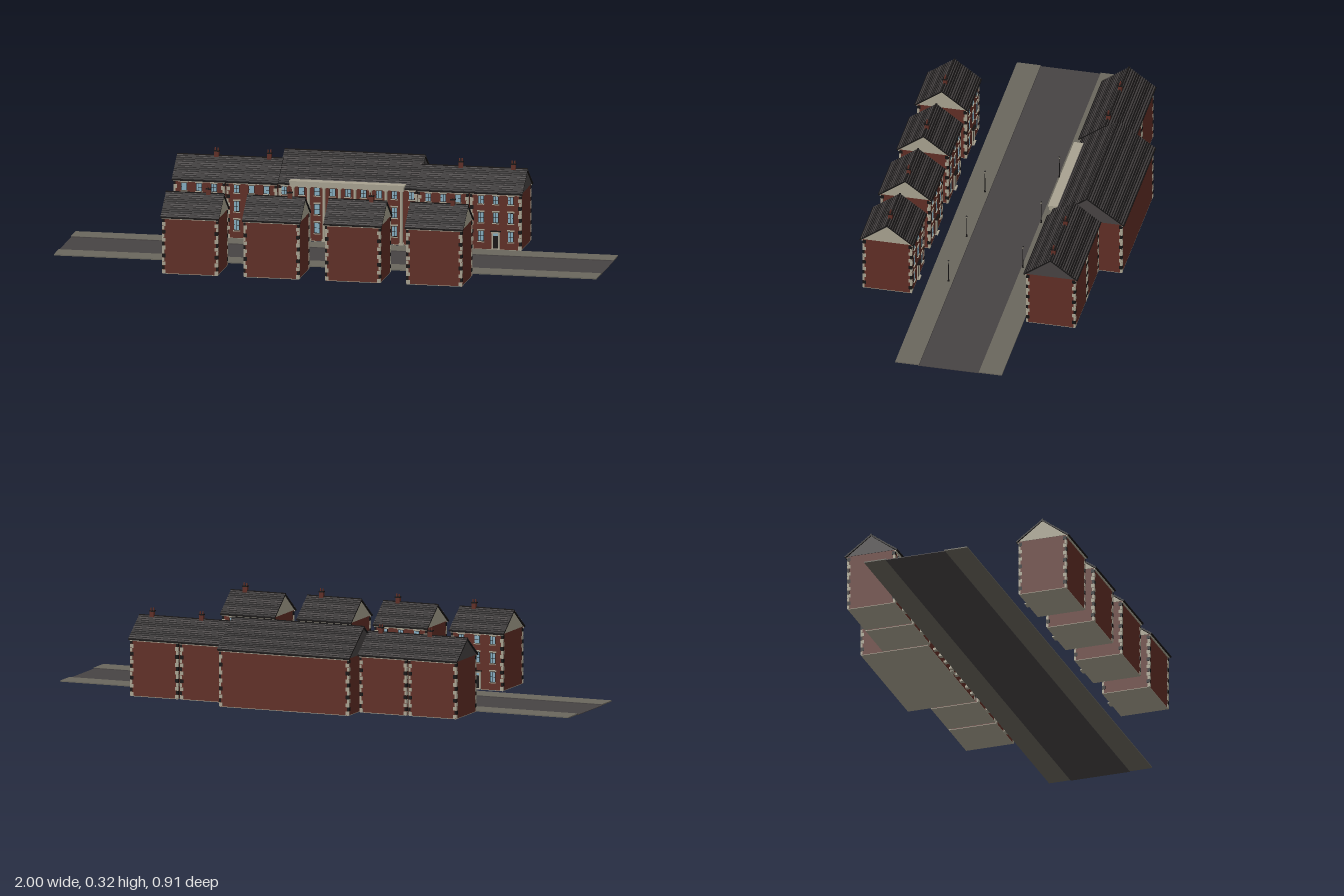
import * as THREE from 'three';

const mat = (name, color) => {
  const m = new THREE.MeshStandardMaterial({ color });
  m.name = name;
  return m;
};

export function createModel() {
  const M = {
    brick: mat('brick', 0x602e25), stone: mat('stone', 0xa8a290),
    black: mat('blackSlate', 0x161414), slate: mat('greySlate', 0x474343),
    pavement: mat('pavement', 0x6a675d), glass: mat('glass', 0x86adc0),
  };
  const root = new THREE.Group();
  root.name = 'terracedStreet';

  const add = (parent, name, geo, material, x = 0, y = 0, z = 0) => {
    const m = new THREE.Mesh(geo, material);
    m.name = name;
    m.position.set(x, y, z);
    parent.add(m);
    return m;
  };
  const box = (p, name, material, w, h, d, x, y, z) =>
    add(p, name, new THREE.BoxGeometry(w, h, d), material, x, y, z);
  const cyl = (p, name, material, rt, rb, h, x, y, z, n = 8) =>
    add(p, name, new THREE.CylinderGeometry(rt, rb, h, n), material, x, y, z);

  const BASE = 0.005, EAVES = 0.215;

  // Outline in the z-y plane, extruded along x
  const prism = (p, name, material, pts, w) => {
    const shape = new THREE.Shape(pts.map(([z, y]) => new THREE.Vector2(-z, y)));
    const g = new THREE.ExtrudeGeometry(shape, { depth: w, bevelEnabled: false });
    g.translate(0, 0, -w / 2);
    g.rotateY(Math.PI / 2);
    return add(p, name, g, material);
  };

  // Sash window: surround, dark frame, panes and sill
  const sash = (p, x, y, z, w, h) => {
    const g = new THREE.Group();
    g.name = 'window';
    g.position.set(x, y, z);
    p.add(g);
    box(g, 'frame', M.black, w, h, 0.002, 0, 0, 0.0005);
    for (const sx of [-1, 1]) for (const sy of [-1, 1])
      box(g, 'pane', M.glass, w * 0.4, h * 0.42, 0.002, sx * w * 0.23, sy * h * 0.23, 0.001);
    box(g, 'lintel', M.stone, w + 0.006, 0.005, 0.003, 0, h / 2 + 0.0025, 0.001);
    box(g, 'sill', M.stone, w + 0.005, 0.003, 0.005, 0, -h / 2 - 0.0015, 0.002);
  };

  // Panelled door with stone surround, canopy and step
  const door = (p, z) => {
    const g = new THREE.Group();
    g.name = 'door';
    g.position.z = z;
    p.add(g);
    box(g, 'doorLeaf', M.black, 0.019, 0.045, 0.003, 0, BASE + 0.0265, 0.001);
    box(g, 'fanlight', M.glass, 0.019, 0.009, 0.003, 0, BASE + 0.055, 0.001);
    for (const s of [-1, 1])
      box(g, 'jamb', M.stone, 0.005, 0.06, 0.005, s * 0.012, BASE + 0.03, 0.002);
    box(g, 'doorHead', M.stone, 0.032, 0.006, 0.006, 0, BASE + 0.063, 0.003);
    box(g, 'canopy', M.black, 0.038, 0.003, 0.01, 0, BASE + 0.0675, 0.005);
    box(g, 'step', M.stone, 0.03, 0.004, 0.01, 0, BASE + 0.002, 0.005);
  };

  // Alternating corner stones
  const quoins = (p, w, d) => {
    const n = 14, h = (EAVES - 0.006 - BASE) / n;
    for (const sx of [-1, 1]) for (const sz of [-1, 1])
      for (let i = 0; i < n; i++) {
        const long = i % 2 === 0, a = long ? 0.013 : 0.008, b = long ? 0.008 : 0.013;
        box(p, 'quoin', i % 3 === 1 ? M.black : M.stone, a, h * 0.92, b,
          sx * (w / 2 + 0.0015 - a / 2), BASE + h * (i + 0.5), sz * (d / 2 + 0.0015 - b / 2));
      }
  };

  // Pitched roof with courses of slate on both slopes
  const roof = (p, w, d, ridge, gable) => {
    const e = d / 2 + 0.008, t = 0.006, W = w + 0.012;
    prism(p, 'gable', gable, [[-d / 2, EAVES - 0.002], [d / 2, EAVES - 0.002], [0, ridge - t]], w + 0.004);
    prism(p, 'roofDeck', M.black,
      [[-e, EAVES - t], [0, ridge - t], [e, EAVES - t], [e, EAVES], [0, ridge], [-e, EAVES]], W);
    const rise = ridge - EAVES, len = Math.hypot(e, rise), angle = Math.atan2(rise, e);
    const n = Math.round(len / 0.0095);
    for (const s of [-1, 1])
      for (let i = 0; i < n; i++) {
        const k = (i + 0.5) / n, thick = [0.3, 0.5, 0.25, 0.6, 0.35][(i * 3 + (s > 0 ? 1 : 0)) % 5];
        const c = box(p, 'slateCourse', M.slate, W, 0.0012, (len / n) * thick,
          0, ridge - rise * k + 0.0003, s * e * k);
        c.rotation.x = s * angle;
      }
    box(p, 'ridgeTile', M.black, W, 0.004, 0.006, 0, ridge, 0);
    for (const s of [-1, 1]) {
      box(p, 'cornice', M.stone, w + 0.004, 0.005, 0.005, 0, EAVES - 0.0065, s * (d / 2 + 0.002));
      box(p, 'gutter', M.black, W, 0.004, 0.004, 0, EAVES - 0.002, s * e);
    }
  };

  const chimney = (p, x, ridge) => {
    const g = new THREE.Group();
    g.name = 'chimney';
    g.position.set(x, ridge, 0);
    p.add(g);
    box(g, 'stack', M.brick, 0.016, 0.038, 0.014, 0, -0.003, 0);
    box(g, 'stackCap', M.black, 0.019, 0.004, 0.018, 0, 0.017, 0);
    for (const s of [-1, 1]) cyl(g, 'chimneyPot', M.brick, 0.0025, 0.003, 0.01, s * 0.005, 0.024, 0);
  };

  // Brick building facing +z before turning
  const ROWS = [[0.053, 0.04], [0.122, 0.04], [0.187, 0.03]];
  const building = (name, { x, z, w, d, ridge, gable, columns, turn = 0, stack = null }) => {
    const g = new THREE.Group();
    g.name = name;
    g.position.set(x, 0, z);
    g.rotation.y = turn;
    root.add(g);
    box(g, 'walls', M.brick, w, EAVES - BASE, d, 0, (EAVES + BASE) / 2, 0);
    box(g, 'floorSlab', M.stone, w, 0.002, d, 0, BASE - 0.001, 0);
    quoins(g, w, d);
    roof(g, w, d, ridge, gable);
    for (const cx of columns) ROWS.forEach(([y, h], i) => {
      if (cx === 0 && i === 0) door(g, d / 2);
      else sash(g, cx, y, d / 2, 0.021, h);
    });
    if (stack !== null) chimney(g, stack, ridge);
    return g;
  };

  // Four detached houses facing the street
  for (const x of [-0.4525, -0.1525, 0.1475, 0.4475])
    building('detachedHouse', { x, z: 0.356, w: 0.203, d: 0.181, ridge: 0.287, gable: M.stone,
      columns: [-0.062, 0, 0.062], turn: Math.PI, stack: -0.05 });

  // Side houses of the long terrace
  for (const s of [-1, 1])
    for (const [px, w] of [[0.547, 0.186], [0.353, 0.183]])
      building('terraceHouse', { x: s * px, z: -0.27, w, d: 0.181, ridge: 0.287, gable: M.slate,
        columns: [-0.055, 0, 0.055], stack: 0.047 });

  // Larger central block with a colonnade
  const D = 0.257;
  const centre = building('centralBlock', { x: 0, z: -0.318, w: 0.508, d: D, ridge: 0.311, gable: M.slate,
    columns: [-0.235, -0.171, -0.114, -0.057, 0, 0.057, 0.114, 0.171, 0.235] });
  for (let i = 0; i < 8; i++) {
    const x = (i - 3.5) * 0.057, z = D / 2 + 0.012;
    cyl(centre, 'column', M.stone, 0.0055, 0.0065, 0.196, x, 0.11, z, 12);
    box(centre, 'columnBase', M.stone, 0.017, 0.008, 0.017, x, BASE + 0.004, z);
    box(centre, 'columnCapital', M.stone, 0.017, 0.006, 0.017, x, 0.207, z);
  }
  box(centre, 'entablature', M.stone, 0.42, 0.014, 0.034, 0, 0.215, D / 2 + 0.006);
  box(centre, 'entablatureCornice', M.stone, 0.426, 0.006, 0.04, 0, 0.225, D / 2 + 0.006);

  // Road, pavements and kerbs
  box(root, 'road', M.slate, 2, 0.002, 0.224, 0, 0.001, 0.025);
  for (const [z, d, kerb] of [[-0.1275, 0.085, -0.086], [0.181, 0.088, 0.138]]) {
    box(root, 'pavement', M.pavement, 2, 0.004, d, 0, 0.004, z);
    box(root, 'kerb', M.slate, 2, 0.005, 0.003, 0, 0.0026, kerb);
  }

  // Street lamps on both pavements
  for (const [z, xs] of [[-0.09, [-0.3, 0, 0.3]], [0.152, [-0.15, 0.15, 0.447]]])
    for (const x of xs) {
      const g = new THREE.Group();
      g.name = 'streetLamp';
      g.position.set(x, 0.006, z);
      root.add(g);
      cyl(g, 'lampBase', M.black, 0.002, 0.0035, 0.012, 0, 0.006, 0);
      cyl(g, 'lampPost', M.black, 0.0011, 0.0015, 0.075, 0, 0.045, 0);
      cyl(g, 'lantern', M.stone, 0.0035, 0.002, 0.007, 0, 0.085, 0, 6);
      cyl(g, 'lanternCap', M.black, 0.0005, 0.004, 0.004, 0, 0.0905, 0, 6);
    }

  return root;
}
